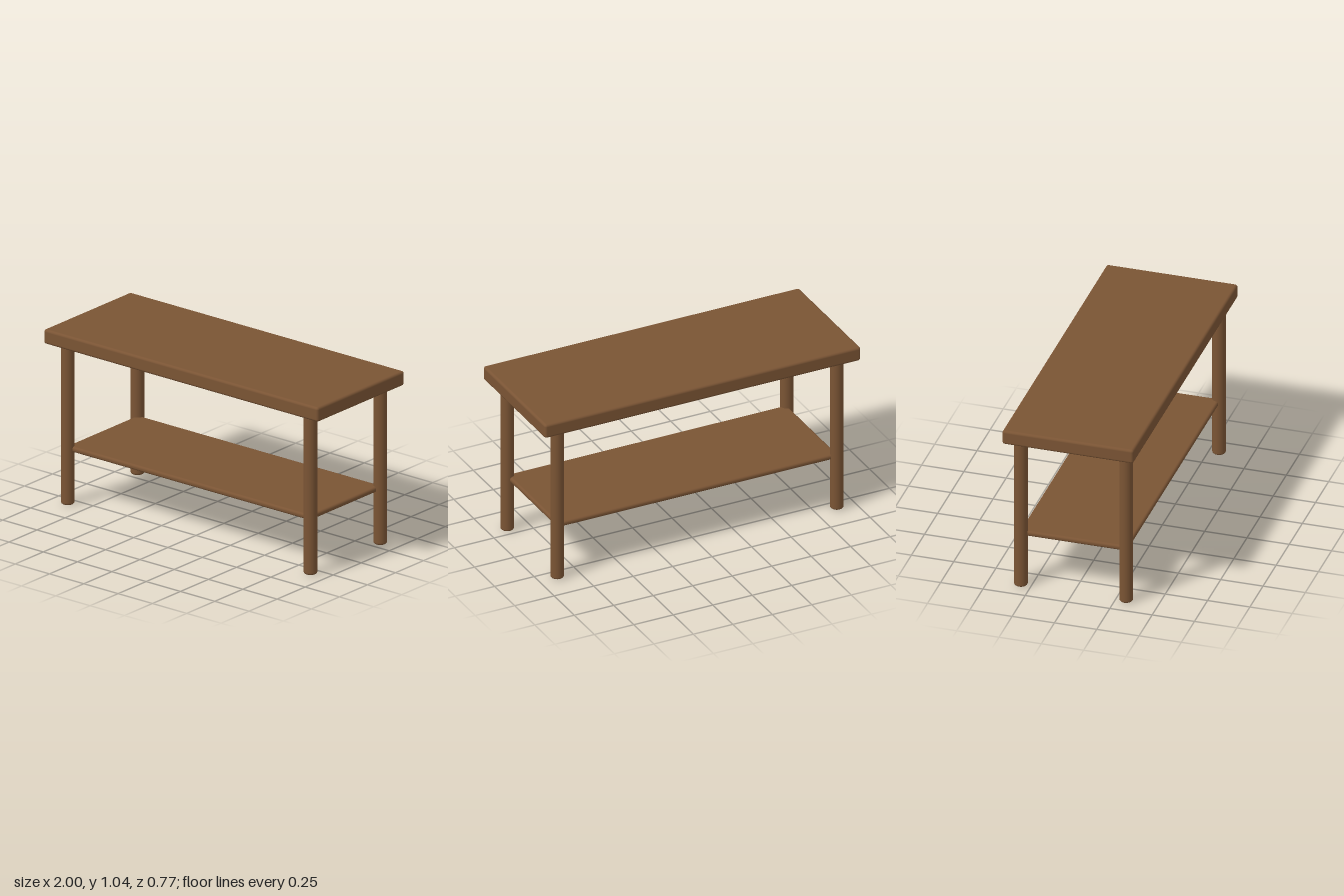
import * as THREE from 'three';
import { RoundedBoxGeometry } from 'three/addons/geometries/RoundedBoxGeometry.js';

export function createModel() {
  const model = new THREE.Group();
  model.name = 'sideTable';
  const wood = new THREE.MeshStandardMaterial({ color: 0x7a5434 });
  wood.name = 'brown wood';

  const add = (name, geometry, x, y, z) => {
    const mesh = new THREE.Mesh(geometry, wood);
    mesh.name = name;
    mesh.position.set(x, y, z);
    model.add(mesh);
  };

  // Thick top and thin lower shelf, both with softened edges
  add('tableTop', new RoundedBoxGeometry(2, 0.087, 0.775, 4, 0.015), 0, 1.0015, 0);
  add('lowerShelf', new RoundedBoxGeometry(1.774, 0.032, 0.634, 4, 0.014), 0, 0.334, 0);

  // Round leg with a rounded foot, running slightly into the top
  const radius = 0.039, bevel = 0.014, height = 0.965;
  const profile = [new THREE.Vector2(0, 0)];
  for (let i = 0; i <= 5; i++) {
    const a = (i / 5) * Math.PI / 2;
    profile.push(new THREE.Vector2(
      radius - bevel + Math.sin(a) * bevel, bevel - Math.cos(a) * bevel));
  }
  profile.push(new THREE.Vector2(radius, height));
  const legGeometry = new THREE.LatheGeometry(profile, 32);

  for (const [side, x] of [['Left', 0.885], ['Right', -0.885]]) {
    for (const [end, z] of [['front', 0.311], ['back', -0.311]]) {
      add(end + side + 'Leg', legGeometry, x, 0, z);
    }
  }
  return model;
}
